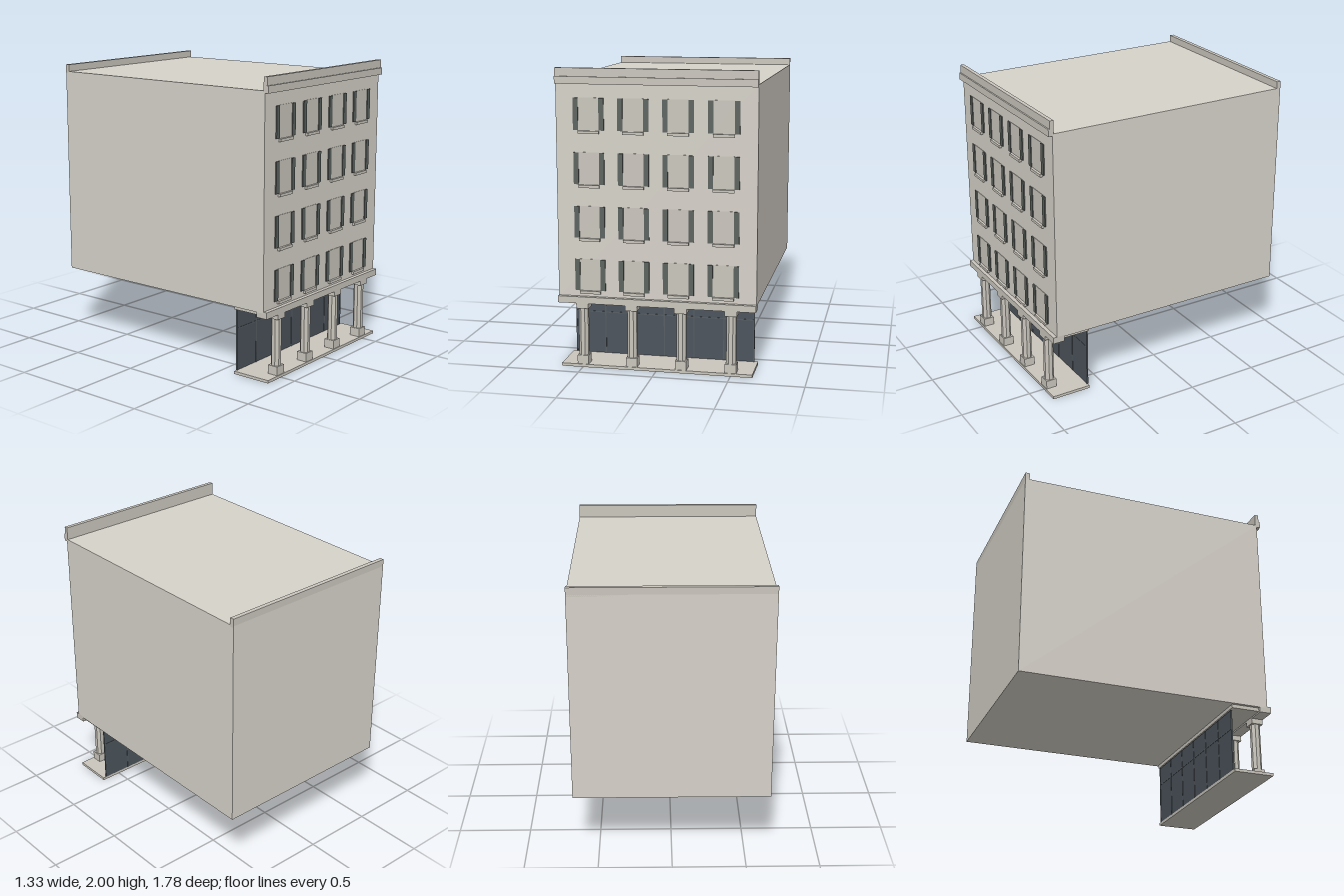
import * as THREE from 'three';

const material = (color) => new THREE.MeshStandardMaterial({ color, flatShading: true });

export function createModel() {
  const model = new THREE.Group();
  model.name = 'building';
  const wall = material(0xd6d2c9);
  const trim = material(0xcac6bd);
  const shutterGreen = material(0x5b625e);
  const glass = material(0x4b535b);
  const frame = material(0x555d62);

  // Box given by its limits on each axis
  function block(name, mat, x0, x1, y0, y1, z0, z1, parent = model) {
    const mesh = new THREE.Mesh(new THREE.BoxGeometry(x1 - x0, y1 - y0, z1 - z0), mat);
    mesh.position.set((x0 + x1) / 2, (y0 + y1) / 2, (z0 + z1) / 2);
    mesh.name = name;
    parent.add(mesh);
    return mesh;
  }

  // Upper storeys, with parapets at the front and back
  const W = 0.665, FRONT = 0.863;
  block('upperStoreys', wall, -W, W, 0.475, 1.912, -0.887, FRONT);
  block('frontParapet', trim, -W, W, 1.9, 2, 0.853, 0.88);
  block('frontCornice', trim, -W, W, 1.897, 1.945, 0.853, 0.89);
  block('backParapet', trim, -W, W, 1.9, 1.96, -0.887, -0.857);

  // Beam over the columns, porch ceiling and floor
  block('entranceBeam', trim, -W, W, 0.44, 0.485, 0.808, 0.89);
  block('porchCeiling', trim, -0.645, 0.645, 0.45, 0.476, 0.61, 0.81);
  block('porchFloor', trim, -0.645, 0.645, 0, 0.02, 0.61, 0.89);

  // Four columns of shuttered windows on four storeys
  for (let row = 0; row < 4; row++) {
    for (let col = 0; col < 4; col++) {
      const win = new THREE.Group();
      win.name = 'window';
      win.position.set((col - 1.5) * 0.297, 0.517 + row * 0.3565, FRONT);
      model.add(win);
      block('windowPanel', trim, -0.07, 0.07, 0.01, 0.222, -0.005, 0.003, win);
      block('windowSill', trim, -0.07, 0.07, -0.012, 0.007, -0.005, 0.017, win);
      for (const s of [-1, 1]) {
        block('shutter', shutterGreen, s * 0.086 - 0.017, s * 0.086 + 0.017, 0.01, 0.22, -0.005, 0.008, win);
      }
    }
  }

  // Octagonal columns on square bases
  const shaft = new THREE.CylinderGeometry(0.0345, 0.0345, 0.33, 8);
  shaft.rotateY(Math.PI / 8);
  for (let i = 0; i < 4; i++) {
    const x = (i - 1.5) * 0.333;
    const column = new THREE.Group();
    column.name = 'column';
    column.position.set(x, 0, 0.847);
    model.add(column);
    block('columnBase', trim, -0.038, 0.038, 0.02, 0.08, -0.038, 0.038, column);
    block('columnCapital', trim, -0.041, 0.041, 0.405, 0.44, -0.041, 0.041, column);
    const mesh = new THREE.Mesh(shaft, trim);
    mesh.name = 'columnShaft';
    mesh.position.y = 0.242;
    column.add(mesh);
  }

  // Recessed shopfront glazing with a thin frame
  block('shopGlass', glass, -0.62, 0.62, 0.02, 0.44, 0.61, 0.615);
  for (let i = 0; i <= 6; i++) {
    const x = -0.617 + i * (1.234 / 6);
    block('mullion', frame, x - 0.004, x + 0.004, 0.02, 0.44, 0.607, 0.618);
  }
  block('transom', frame, -0.62, 0.62, 0.306, 0.314, 0.6075, 0.6175);

  return model;
}
